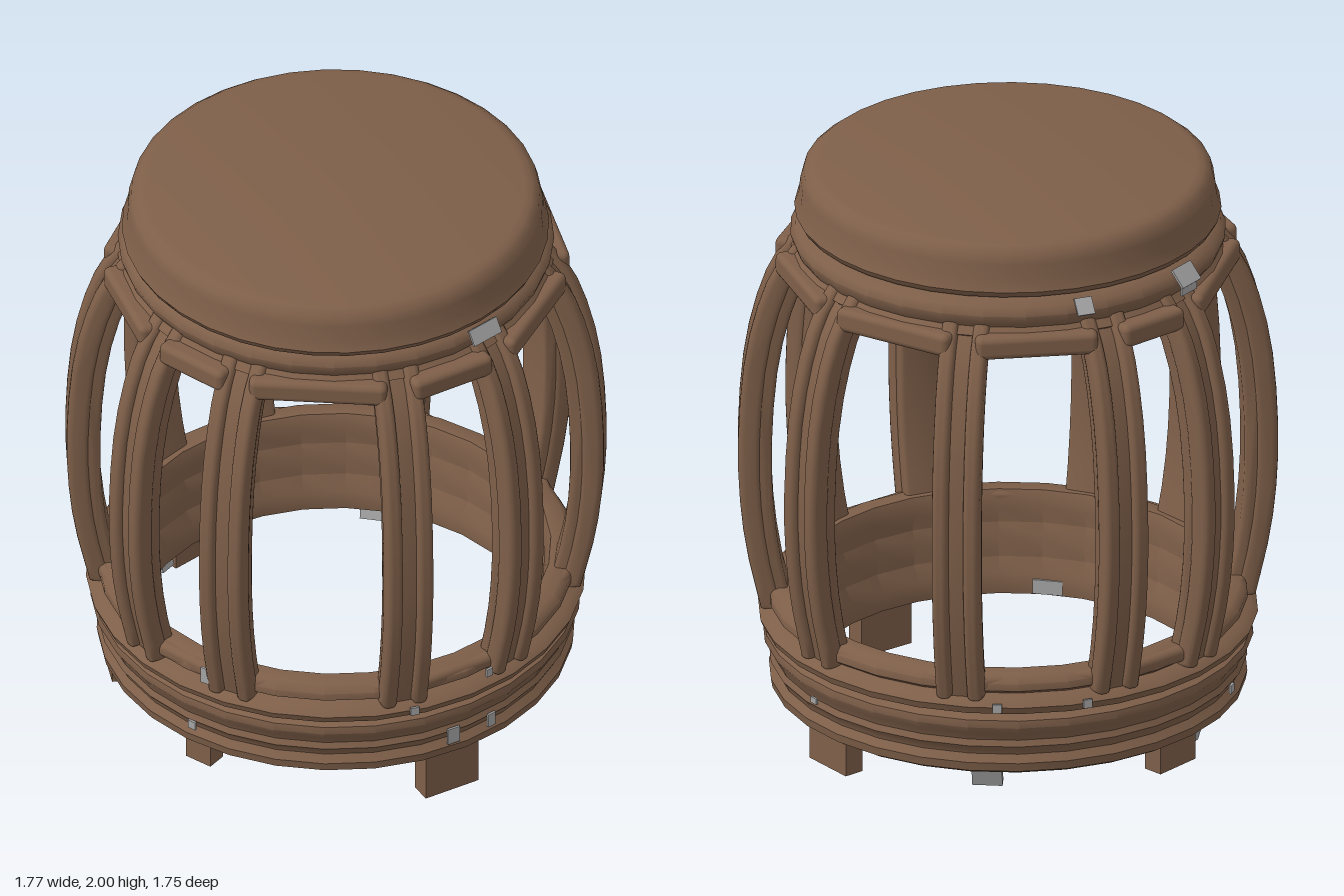
import * as THREE from 'three';
import { toCreasedNormals } from 'three/addons/utils/BufferGeometryUtils.js';
import { RoundedBoxGeometry } from 'three/addons/geometries/RoundedBoxGeometry.js';

export function createModel() {
  const stool = new THREE.Group();
  stool.name = 'drumStool';
  const wood = new THREE.MeshStandardMaterial({ name: 'brown wood', color: 0x7e5f49 });
  const chipped = new THREE.MeshStandardMaterial({ name: 'grey chip', color: 0xa6a6a6 });

  const add = (name, geometry, material = wood, parent = stool) => {
    const mesh = new THREE.Mesh(geometry, material);
    mesh.name = name;
    parent.add(mesh);
    return mesh;
  };
  const vectors = (pairs) => pairs.map(([r, y]) => new THREE.Vector2(r, y));
  const lathe = (pairs, segments = 32) =>
    toCreasedNormals(new THREE.LatheGeometry(vectors(pairs), segments), 0.8);
  // Group whose local +x points outwards at the given angle (degrees)
  const spoke = (name, degrees) => {
    const group = new THREE.Group();
    group.name = name;
    group.rotation.y = -THREE.MathUtils.degToRad(degrees);
    stool.add(group);
    return group;
  };

  // Seat: thick rounded disc, recessed underneath
  const seat = add('seat', lathe([
    [0, 1.90], [0.57, 1.90], [0.61, 1.87], [0.62, 1.81], [0.66, 1.82], [0.69, 1.83], [0.70, 1.85],
    [0.685, 1.89], [0.68, 1.94], [0.67, 1.975], [0.645, 1.995], [0.62, 2.0], [0, 2.0],
  ], 36));
  seat.position.set(-0.015, 0, 0.02);

  // Moulded collar under the seat
  add('collar', lathe([
    [0.62, 1.69], [0.69, 1.69], [0.715, 1.71], [0.695, 1.735], [0.705, 1.75],
    [0.715, 1.78], [0.70, 1.81], [0.66, 1.825], [0.61, 1.825], [0.60, 1.77], [0.62, 1.69],
  ]));

  // Hollow base band with stacked beads
  add('baseBand', lathe([
    [0.66, 0.16], [0.755, 0.16], [0.78, 0.175], [0.785, 0.205], [0.765, 0.23],
    [0.77, 0.245], [0.785, 0.265], [0.775, 0.285], [0.785, 0.31], [0.805, 0.34],
    [0.80, 0.365], [0.765, 0.38], [0.81, 0.395], [0.82, 0.42], [0.80, 0.44],
    [0.765, 0.45], [0.785, 0.465], [0.785, 0.49], [0.76, 0.515],
    [0.705, 0.515], [0.685, 0.46], [0.70, 0.40], [0.675, 0.36], [0.69, 0.28],
    [0.655, 0.23], [0.66, 0.16],
  ], 30));

  // Curved bar: side profile between an outer and an inner curve, rounded by bevel
  const bar = (outer, inner, width, bevel) => {
    const sample = (pairs) => new THREE.SplineCurve(vectors(pairs)).getPoints(14);
    const shape = new THREE.Shape([...sample(outer), ...sample(inner).reverse()]);
    const depth = width - 2 * bevel;
    const geometry = new THREE.ExtrudeGeometry(shape, {
      depth, bevelThickness: bevel, bevelSize: bevel, bevelOffset: -bevel, bevelSegments: 3,
    });
    geometry.translate(0, 0, -depth / 2);
    return toCreasedNormals(geometry, 0.8);
  };
  const curve = [[0.81, 0.44], [0.865, 0.7], [0.885, 1.0], [0.86, 1.35], [0.785, 1.62], [0.68, 1.77]];
  const shift = (d) => curve.map(([r, y]) => [r - d, y - d * 0.2]);
  const ribBody = bar(shift(0.025), shift(0.11), 0.145, 0.015);
  const ribBead = bar(curve, shift(0.075), 0.055, 0.02);

  // Ribs: recessed centre with a raised bead on each edge
  const angles = [0, 38, 77.5, 107, 149, 176, 211, 256, 282, 320];
  for (const angle of angles) {
    const rib = spoke('rib', angle);
    add('ribBody', ribBody, wood, rib);
    for (const side of [-1, 1]) {
      add('ribBead', ribBead, wood, rib).position.z = side * 0.052;
    }
  }

  // Rails close the openings at top and bottom between neighbouring ribs
  angles.forEach((angle, i) => {
    const next = i + 1 < angles.length ? angles[i + 1] : 360;
    const half = THREE.MathUtils.degToRad((next - angle) / 2);
    const panel = spoke('openingRails', (angle + next) / 2);
    const rail = (name, radius, y, height, depth) => {
      const length = 2 * radius * Math.sin(half) - 0.08;
      add(name, new RoundedBoxGeometry(depth, height, length, 3, 0.022), wood, panel)
        .position.set(radius * Math.cos(half), y, 0);
    };
    rail('topRail', 0.745, 1.68, 0.08, 0.075);
    rail('lowerRail', 0.775, 0.485, 0.055, 0.06);
  });

  // Feet: [angle, width, lowest y]
  const feet = [[93, 0.2, 0], [0, 0.19, 0.05], [261, 0.17, 0.07], [160, 0.1, 0.08], [203, 0.11, 0.09]];
  for (const [angle, width, low] of feet) {
    const foot = spoke('foot', angle);
    const geometry = new THREE.BoxGeometry(0.07, 0.2 - low, width);
    add('footBlock', geometry, wood, foot).position.set(0.72, (0.2 + low) / 2, 0);
  }

  // Worn foot stubs, broken off pale and leaning inwards
  for (const [angle, width] of [[42, 0.09], [314, 0.1], [250, 0.06]]) {
    const stub = spoke('wornFoot', angle);
    const mesh = add('stub', new THREE.BoxGeometry(0.03, 0.09, width), chipped, stub);
    mesh.position.set(0.71, 0.14, 0);
    mesh.rotation.z = -0.3;
  }

  // Pale chips: [angle, radius, y, width, height, lean]
  const chips = [
    // around the collar
    [81, 0.725, 1.795, 0.12, 0.055, 0.5], [255, 0.725, 1.805, 0.1, 0.07, 0.7],
    [255, 0.735, 1.765, 0.08, 0.04, 0], [288, 0.715, 1.80, 0.06, 0.06, 0.7],
    // around the base band
    [94, 0.787, 0.25, 0.045, 0.06, 0], [83, 0.787, 0.25, 0.03, 0.05, 0],
    [105, 0.822, 0.42, 0.03, 0.03, 0], [85, 0.81, 0.47, 0.025, 0.03, 0],
    [2, 0.79, 0.29, 0.03, 0.02, 0], [155, 0.815, 0.5, 0.03, 0.06, 0],
    [160, 0.787, 0.25, 0.03, 0.03, 0], [240, 0.787, 0.25, 0.03, 0.03, 0],
    [290, 0.822, 0.42, 0.03, 0.03, 0], [311, 0.822, 0.42, 0.03, 0.03, 0],
    // inside the base band
    [140, 0.651, 0.19, 0.1, 0.05, 0],
  ];
  for (const [angle, radius, y, width, height, lean] of chips) {
    const chip = spoke('chip', angle);
    const plate = add('chipPlate', new THREE.BoxGeometry(0.008, height, width), chipped, chip);
    plate.position.set(radius, y, 0);
    plate.rotation.z = lean;
  }

  return stool;
}
